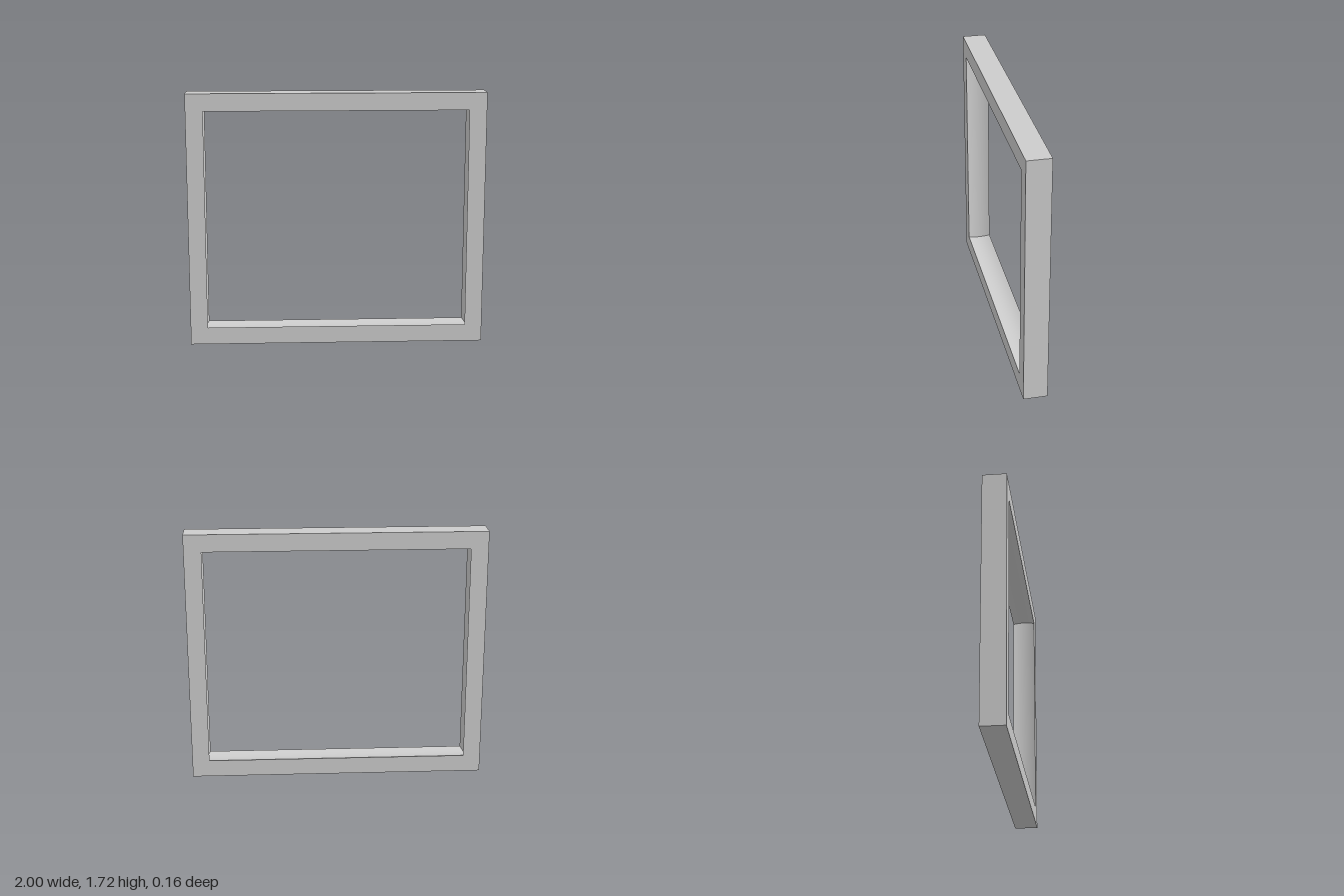
import * as THREE from 'three';
import { toCreasedNormals } from 'three/addons/utils/BufferGeometryUtils.js';

const WIDTH = 2, HEIGHT = 1.72, HALF_DEPTH = 0.08;
const RAIL = 0.117, GROOVE = 0.018, STEPS = 10;

// Rail cross-section as [distance from outer edge, z]; the inner side is slightly hollowed
function railProfile() {
  const points = [[0, HALF_DEPTH]];
  for (let i = 0; i <= STEPS; i++) {
    const t = 1 - (2 * i) / STEPS;
    points.push([RAIL - GROOVE * (1 - t * t), HALF_DEPTH * t]);
  }
  points.push([0, -HALF_DEPTH]);
  return points;
}

// Mitred rail along x, its outer side at y = -distance
function railGeometry(length, distance) {
  const profile = railProfile();
  const positions = [];
  profile.forEach(([o1, z1], i) => {
    const [o2, z2] = profile[(i + 1) % profile.length];
    const x1 = length / 2 - o1, x2 = length / 2 - o2;
    const a = [-x1, o1 - distance, z1], b = [x1, o1 - distance, z1];
    const c = [x2, o2 - distance, z2], d = [-x2, o2 - distance, z2];
    positions.push(...a, ...b, ...c, ...a, ...c, ...d);
  });
  const geometry = new THREE.BufferGeometry();
  geometry.setAttribute('position', new THREE.Float32BufferAttribute(positions, 3));
  return toCreasedNormals(geometry, Math.PI / 6);
}

export function createModel() {
  const group = new THREE.Group();
  group.name = 'frame';
  const material = new THREE.MeshStandardMaterial({ color: 0xcccccc });

  // Four rails, each turned a quarter around the centre of the opening
  ['bottomRail', 'leftRail', 'topRail', 'rightRail'].forEach((name, k) => {
    const [length, across] = k % 2 ? [HEIGHT, WIDTH] : [WIDTH, HEIGHT];
    const rail = new THREE.Mesh(railGeometry(length, across / 2), material);
    rail.name = name;
    rail.rotation.z = (k * Math.PI) / 2;
    rail.position.y = HEIGHT / 2;
    group.add(rail);
  });
  return group;
}
